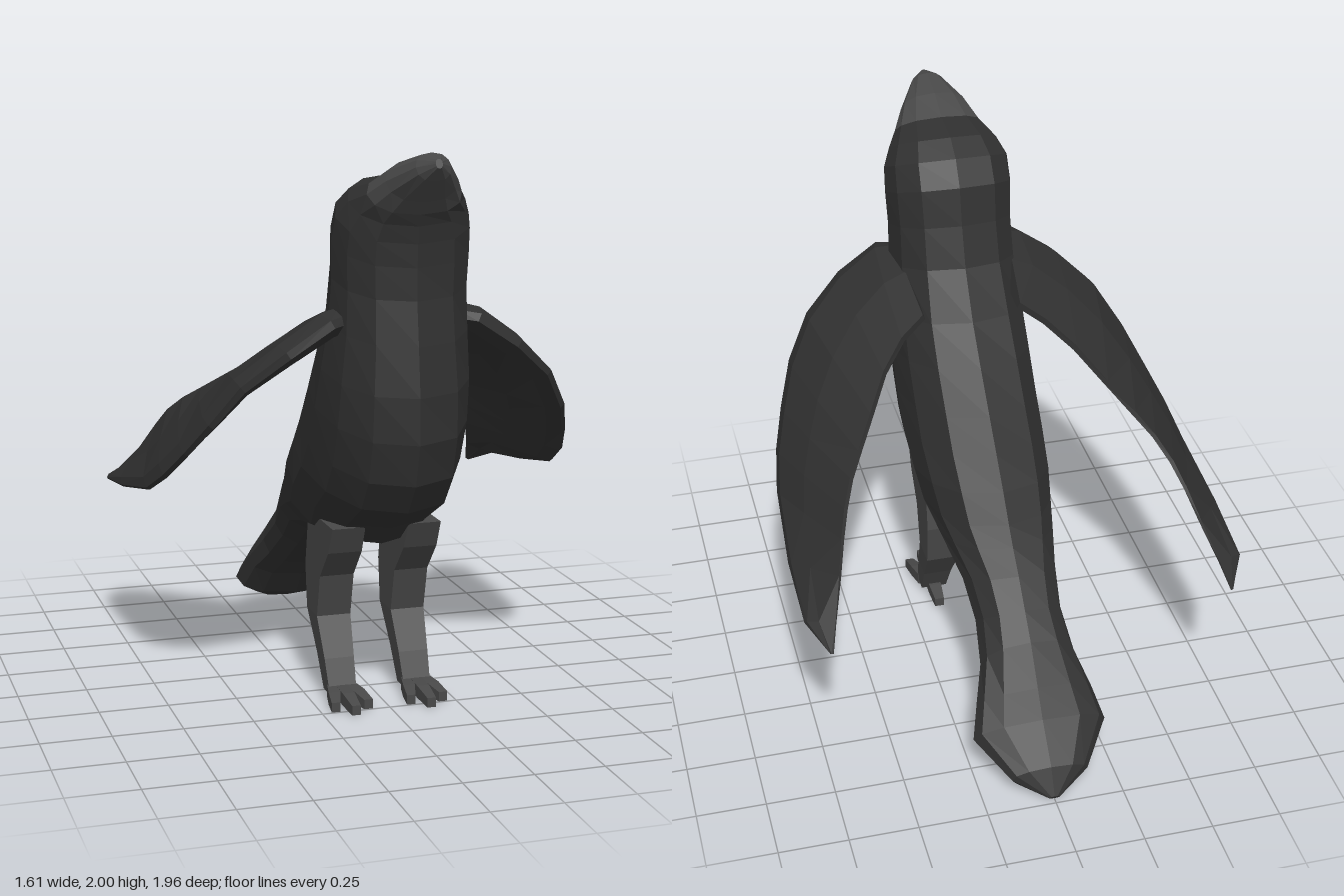
import * as THREE from 'three';

const dark = new THREE.MeshStandardMaterial({ color: 0x303030, flatShading: true });
const horn = new THREE.MeshStandardMaterial({ color: 0x484848, flatShading: true });
const V = (x, y, z) => new THREE.Vector3(x, y, z);

// Skin a list of equal-length rings, cap both ends and wind the faces outward
function loft(rings) {
  const n = rings[0].length;
  const pts = rings.flat();
  const tris = [];
  for (let r = 0; r < rings.length - 1; r++) {
    for (let i = 0; i < n; i++) {
      const a = r * n + i, b = r * n + (i + 1) % n;
      tris.push([a, b, a + n], [b, b + n, a + n]);
    }
  }
  const last = (rings.length - 1) * n;
  for (let i = 1; i < n - 1; i++) {
    tris.push([0, i + 1, i], [last, last + i, last + i + 1]);
  }
  const c = V(0, 0, 0);
  let volume = 0;
  for (const [i, j, k] of tris) volume += pts[i].dot(c.crossVectors(pts[j], pts[k]));
  const index = tris.flatMap(([i, j, k]) => (volume < 0 ? [i, k, j] : [i, j, k]));
  const geo = new THREE.BufferGeometry().setFromPoints(pts);
  geo.setIndex(index);
  geo.computeVertexNormals();
  return geo;
}

function part(parent, name, geo, material) {
  const mesh = new THREE.Mesh(geo, material);
  mesh.name = name;
  parent.add(mesh);
}

// Rounded ring between an upper and a lower point on the centre plane
function bodyRing([zTop, yTop, zBot, yBot, w]) {
  const ring = [];
  const soft = (v) => Math.sign(v) * Math.abs(v) ** 0.8;
  for (let i = 0; i < 12; i++) {
    const a = (i / 12) * Math.PI * 2;
    const t = (1 - Math.cos(a)) / 2;
    ring.push(V(w * soft(Math.sin(a)),
      THREE.MathUtils.lerp(yTop, yBot, t), THREE.MathUtils.lerp(zTop, zBot, t)));
  }
  return ring;
}

// zTop, yTop, zBottom, yBottom, half width
const beak = [
  [0.97, 1.985, 0.98, 1.955, 0.012],
  [0.90, 2.00, 0.94, 1.91, 0.06],
  [0.78, 1.97, 0.84, 1.835, 0.125],
  [0.67, 1.92, 0.80, 1.79, 0.165],
];
const trunk = [
  beak[3],
  [0.53, 1.90, 0.785, 1.75, 0.205],
  [0.45, 1.85, 0.775, 1.69, 0.235],
  [0.39, 1.76, 0.77, 1.61, 0.24],
  [0.36, 1.62, 0.77, 1.50, 0.235],
  [0.31, 1.47, 0.79, 1.35, 0.24],
  [0.20, 1.30, 0.81, 1.18, 0.255],
  [0.08, 1.17, 0.81, 1.02, 0.26],
  [-0.05, 1.04, 0.77, 0.87, 0.26],
  [-0.15, 0.94, 0.69, 0.76, 0.26],
  [-0.25, 0.84, 0.50, 0.66, 0.25],
  [-0.33, 0.75, 0.40, 0.58, 0.235],
  [-0.39, 0.69, 0.14, 0.545, 0.21],
  [-0.47, 0.62, -0.20, 0.475, 0.175],
  [-0.56, 0.53, -0.37, 0.37, 0.16],
  [-0.64, 0.45, -0.55, 0.25, 0.175],
  [-0.74, 0.32, -0.65, 0.18, 0.215],
  [-0.81, 0.23, -0.73, 0.08, 0.245],
  [-0.93, 0.11, -0.90, 0.02, 0.14],
  [-0.98, 0.015, -0.975, 0.003, 0.02],
];

// Leading edge x, y, z, trailing edge x, y, z, half thickness
const wingStations = [
  [0.19, 1.43, 0.63, 0.18, 1.34, 0.22, 0.05],
  [0.26, 1.42, 0.67, 0.27, 1.28, 0.18, 0.05],
  [0.41, 1.32, 0.66, 0.36, 1.21, 0.08, 0.045],
  [0.55, 1.20, 0.59, 0.44, 1.13, -0.06, 0.04],
  [0.64, 1.06, 0.50, 0.51, 1.06, -0.18, 0.035],
  [0.70, 0.94, 0.37, 0.56, 1.01, -0.27, 0.03],
  [0.745, 0.84, 0.24, 0.60, 0.95, -0.36, 0.03],
  [0.775, 0.76, 0.08, 0.63, 0.88, -0.44, 0.025],
  [0.80, 0.69, -0.28, 0.66, 0.79, -0.53, 0.02],
  [0.80, 0.65, -0.58, 0.70, 0.68, -0.64, 0.012],
  [0.735, 0.595, -0.70, 0.725, 0.60, -0.71, 0.003],
];

function wing(side) {
  const lead = wingStations.map((s) => V(side * s[0], s[1], s[2]));
  const trail = wingStations.map((s) => V(side * s[3], s[4], s[5]));
  const profile = [[0, 0.3], [0.12, 1], [0.5, 1], [1, 0.25], [1, -0.25], [0.5, -0.7], [0.12, -0.8], [0, -0.3]];
  return loft(wingStations.map((s, i) => {
    const a = Math.max(i - 1, 0), b = Math.min(i + 1, lead.length - 1);
    const span = lead[b].clone().add(trail[b]).sub(lead[a]).sub(trail[a]);
    const normal = trail[i].clone().sub(lead[i]).cross(span).normalize();
    if (normal.x * side < 0) normal.negate();
    return profile.map(([t, h]) => lead[i].clone().lerp(trail[i], t).addScaledVector(normal, h * s[6]));
  }));
}

// Box-section limb: height, front z, back z, half width
function limb(x, rows) {
  return loft(rows.map(([y, zf, zb, w]) => [
    V(x - w, y, zf), V(x + w, y, zf), V(x + w, y, zb), V(x - w, y, zb),
  ]));
}

function toe(x0, z0, x1, z1, w0, w1) {
  const ring = (x, z, w, lo, hi) => [V(x - w, lo, z), V(x + w, lo, z), V(x + w, hi, z), V(x - w, hi, z)];
  return loft([
    ring(x0, z0, w0, 0.015, 0.06),
    ring((x0 + x1) / 2, (z0 + z1) / 2, w0, 0.01, 0.055),
    ring(x1, z1, w1, 0.005, 0.04),
  ]);
}

export function createModel() {
  const model = new THREE.Group();
  model.name = 'bird';
  part(model, 'beak', loft(beak.map(bodyRing)), horn);
  part(model, 'bodyAndTail', loft(trunk.map(bodyRing)), dark);

  for (const side of [1, -1]) {
    const label = side > 0 ? 'left' : 'right';
    part(model, `${label}Wing`, wing(side), dark);

    // Leg with a bent ankle
    const leg = new THREE.Group();
    leg.name = `${label}Leg`;
    const x = side * 0.14;
    part(leg, 'shank', limb(x, [
      [0.66, 0.46, 0.15, 0.06], [0.56, 0.41, 0.14, 0.062], [0.45, 0.31, 0.12, 0.063],
      [0.29, 0.27, 0.14, 0.063], [0.15, 0.34, 0.24, 0.055], [0.03, 0.39, 0.31, 0.05],
    ]), horn);

    // Three toes forward, one back
    for (const spread of [-1, 0, 1]) {
      part(leg, 'frontToe', toe(x + spread * 0.03, 0.36, x + spread * 0.06, spread ? 0.50 : 0.55, 0.022, 0.016), horn);
    }
    part(leg, 'backToe', toe(x, 0.36, x, 0.21, 0.024, 0.018), horn);
    model.add(leg);
  }
  return model;
}
